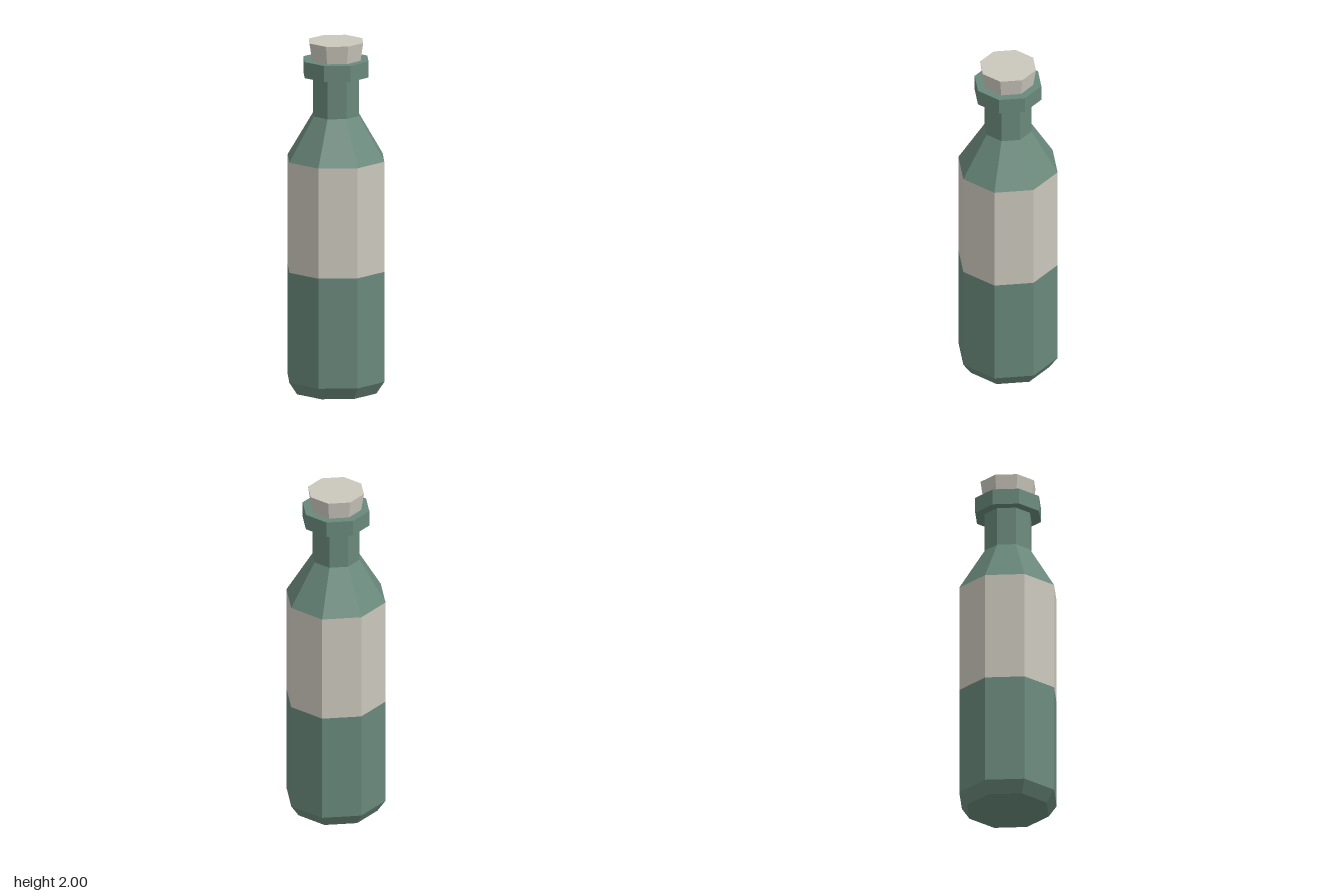
import * as THREE from 'three';

const SIDES = 8;

// Faceted solid of revolution; profile runs bottom to top as [radius, y].
function turned(name, profile, material) {
  const points = profile.map(([r, y]) => new THREE.Vector2(r, y));
  const mesh = new THREE.Mesh(new THREE.LatheGeometry(points, SIDES), material);
  mesh.name = name;
  return mesh;
}

export function createModel() {
  const glass = new THREE.MeshStandardMaterial({ color: 0x69887b, flatShading: true });
  glass.name = 'green glass';
  const pale = new THREE.MeshStandardMaterial({ color: 0xcac7bc, flatShading: true });
  pale.name = 'pale label and cork';

  const bottle = new THREE.Group();
  bottle.name = 'bottle';

  // Lower body with bevelled base
  bottle.add(turned('lowerBody', [[0, 0], [0.24, 0], [0.287, 0.07], [0.287, 0.7]], glass));
  // Label band, flush with the body
  bottle.add(turned('label', [[0.287, 0.7], [0.287, 1.33]], pale));
  // Sloping shoulder and straight neck
  bottle.add(turned('shoulderAndNeck', [[0.287, 1.33], [0.137, 1.58], [0.137, 1.81]], glass));
  // Collar around the mouth
  bottle.add(turned('collar', [[0.137, 1.805], [0.193, 1.805], [0.193, 1.897], [0.13, 1.897]], glass));
  // Tapered cork
  bottle.add(turned('cork', [[0.143, 1.88], [0.162, 2], [0, 2]], pale));

  return bottle;
}
